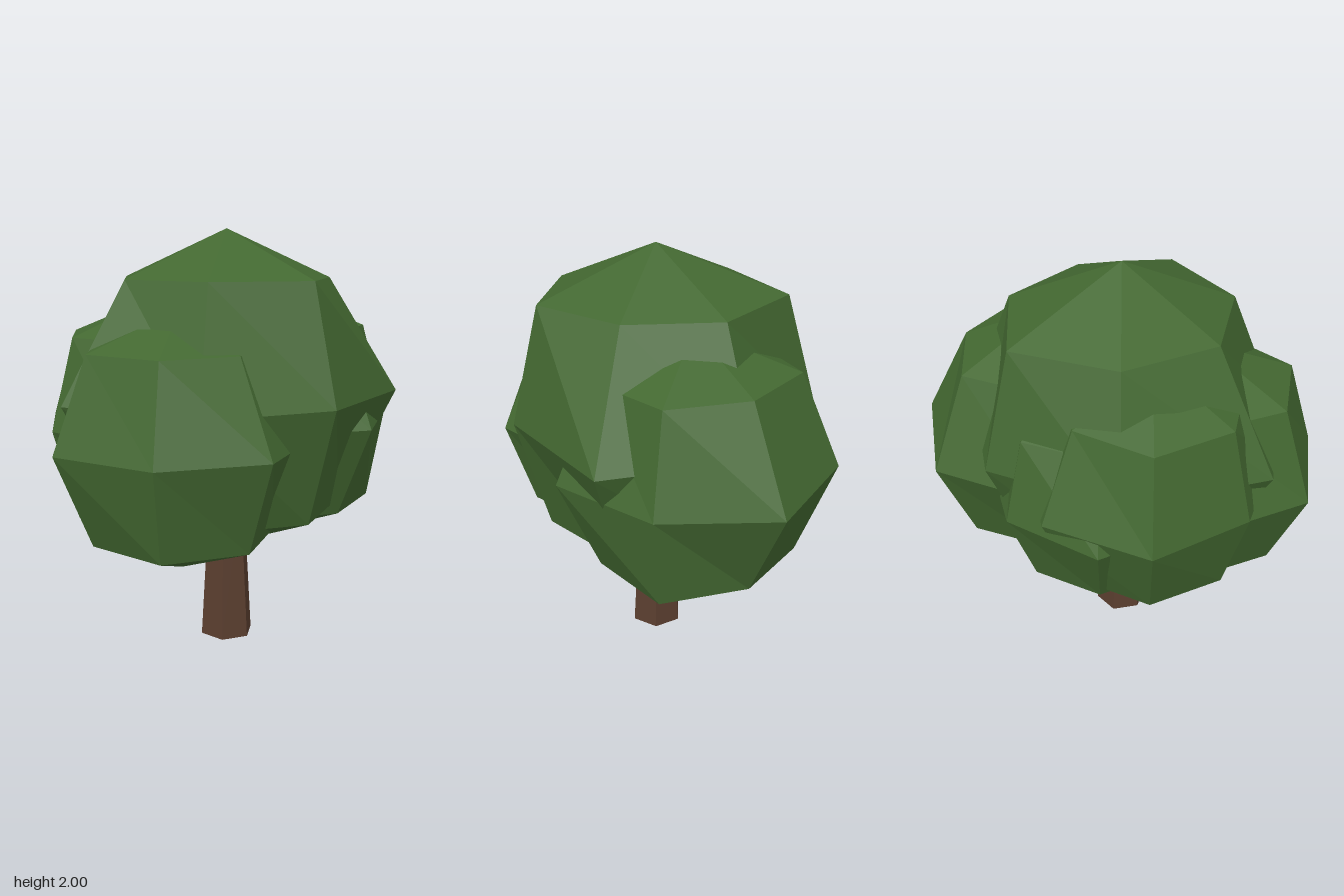
import * as THREE from 'three';

const SIDES = 7;
const STEP = (Math.PI * 2) / SIDES;
const PHASE = THREE.MathUtils.degToRad(29.3);

// Faceted sphere; each ring (upper, middle, lower) has a radial factor per corner.
function leafClump(name, material, radius, centre, upper, middle, lower) {
  const sphere = new THREE.SphereGeometry(radius, SIDES, 4);
  const pos = sphere.attributes.position;
  const rings = [null, upper, middle, lower, null];
  for (let row = 1; row <= 3; row++) {
    const ringRadius = radius * Math.sin((row * Math.PI) / 4);
    for (let col = 0; col <= SIDES; col++) {
      const corner = (SIDES - col) % SIDES;
      const angle = PHASE + corner * STEP;
      const r = ringRadius * rings[row][corner];
      const i = row * (SIDES + 1) + col;
      pos.setX(i, Math.cos(angle) * r);
      pos.setZ(i, Math.sin(angle) * r);
    }
  }
  const geometry = sphere.toNonIndexed();
  geometry.computeVertexNormals();
  const mesh = new THREE.Mesh(geometry, material);
  mesh.name = name;
  mesh.position.set(...centre);
  return mesh;
}

export function createModel() {
  const group = new THREE.Group();
  group.name = 'tree';

  const bark = new THREE.MeshStandardMaterial({ color: 0x5a3e2f, flatShading: true });
  bark.name = 'bark brown';
  const leaf = new THREE.MeshStandardMaterial({ color: 0x436831, flatShading: true });
  leaf.name = 'leaf green';

  // Tapered six-sided trunk running up into the crown
  const trunk = new THREE.Mesh(new THREE.CylinderGeometry(0.092, 0.133, 0.7, 6), bark);
  trunk.name = 'trunk';
  trunk.position.set(0, 0.35, 0.02);
  trunk.rotation.y = THREE.MathUtils.degToRad(17);
  group.add(trunk);

  // Crown: one tall clump with four smaller ones around it
  group.add(
    leafClump('mainCrown', leaf, 0.77, [0, 1.23, 0.02],
      [0.9, 1.02, 0.96, 0.96, 0.97, 1.1, 0.96],
      [1.08, 0.9, 0.97, 1.09, 0.93, 0.98, 0.97],
      [1.03, 1, 1, 1, 1, 1, 1]),
    leafClump('rightFrontClump', leaf, 0.6, [-0.34, 1.05, 0.16],
      [1, 0.91, 1.03, 1.06, 1, 1, 1],
      [1, 0.97, 0.955, 1.02, 1, 1, 1],
      [1, 1.05, 1.1, 1.04, 1, 1, 1]),
    leafClump('leftClump', leaf, 0.63, [0.35, 1.08, -0.07],
      [1.02, 1, 1, 1, 1, 1.06, 0.93],
      [0.92, 1.01, 1, 1, 1, 1.05, 1.03],
      [1.12, 1, 1, 1, 1, 1.1, 0.99]),
    leafClump('rightBackClump', leaf, 0.6, [-0.28, 1.09, -0.15],
      [1, 1, 1, 1.01, 1.05, 1, 1],
      [1, 1, 1, 0.9, 0.97, 1, 1],
      [1, 1, 1, 1, 1, 1, 1]),
    leafClump('backClump', leaf, 0.55, [-0.06, 1.02, -0.23],
      [1, 1, 1, 1, 1, 1.08, 1],
      [1, 1, 1, 1, 1.03, 0.95, 1],
      [1, 1, 1, 1, 1, 1, 1]),
  );
  return group;
}
